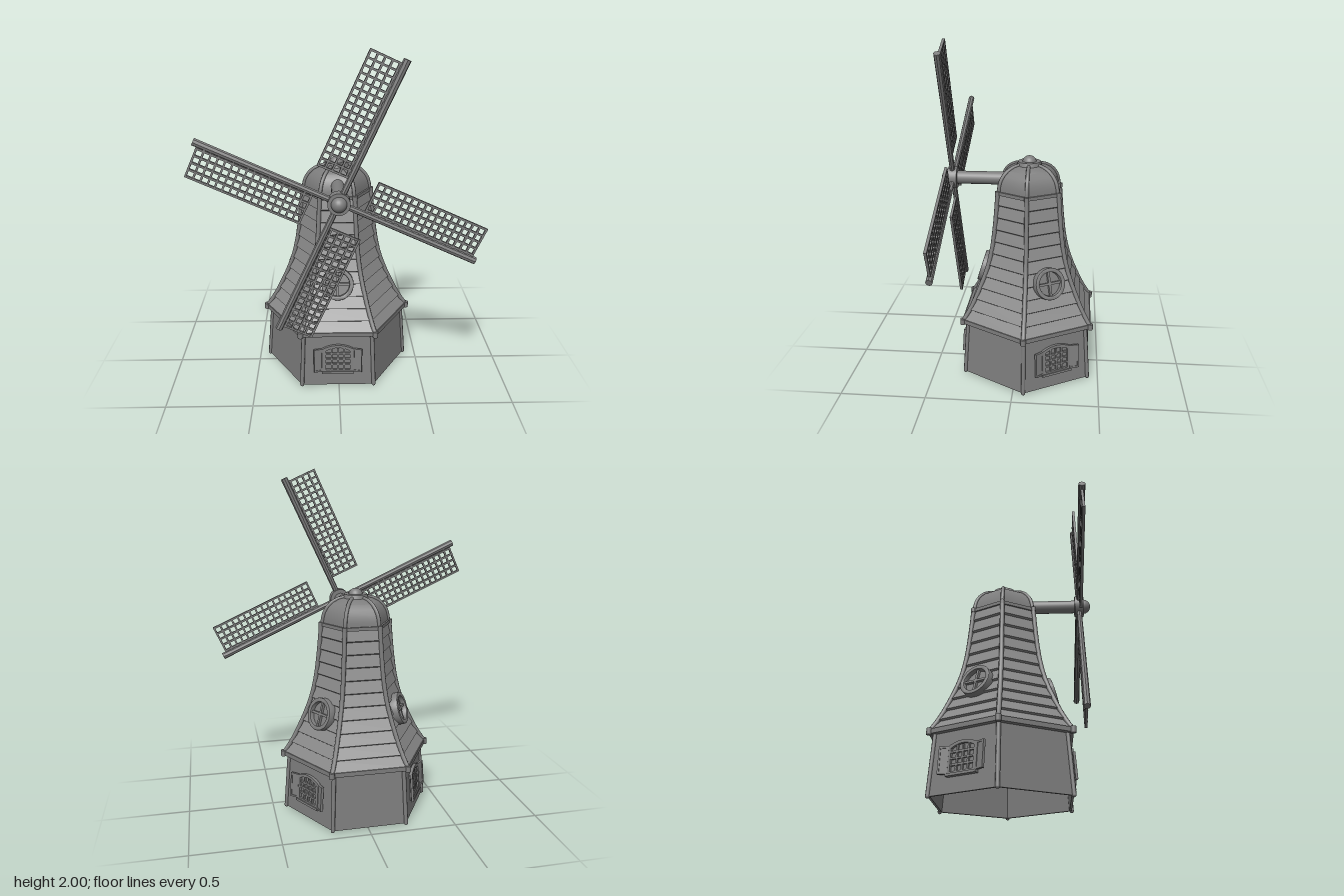
import * as THREE from 'three';
import { toCreasedNormals } from 'three/addons/utils/BufferGeometryUtils.js';

const stone = new THREE.MeshStandardMaterial({ color: 0x7e7e7e, side: THREE.DoubleSide });
const boarding = new THREE.MeshStandardMaterial({ color: 0x888888, side: THREE.DoubleSide });
const V2 = (p) => new THREE.Vector2(p[0], p[1]);

function add(parent, name, geometry, x = 0, y = 0, z = 0, material = stone) {
  const mesh = new THREE.Mesh(geometry, material);
  mesh.name = name;
  mesh.position.set(x, y, z);
  parent.add(mesh);
  return mesh;
}
const box = (parent, name, w, h, d, x, y, z) => add(parent, name, new THREE.BoxGeometry(w, h, d), x, y, z);

// Six-sided shell from [corner radius, height] points, corners on the x axis
const hexShell = (profile) =>
  toCreasedNormals(new THREE.LatheGeometry(profile.map(V2), 6, Math.PI / 2), 0.6);

// Ribs that follow a profile up each of the six corners
function cornerRibs(parent, name, profile, radius, steps = 24) {
  for (let i = 0; i < 6; i++) {
    const a = (i * Math.PI) / 3;
    const path = new THREE.CatmullRomCurve3(
      profile.map(([r, y]) => new THREE.Vector3(r * Math.cos(a), y, r * Math.sin(a))));
    add(parent, name, new THREE.TubeGeometry(path, steps, radius, 8));
    for (const t of [0, 1]) { // closed ends
      const p = path.getPoint(t);
      add(parent, name + 'End', new THREE.SphereGeometry(radius, 8, 6), p.x, p.y, p.z);
    }
  }
}

// Hexagonal moulding with a small knob on each corner
function hexRing(parent, name, R, y, h, depth, knob) {
  add(parent, name, hexShell([[R - depth, y - h / 2], [R, y - h / 2], [R, y + h / 2],
    [R - depth, y + h / 2], [R - depth, y - h / 2]]));
  for (let i = 0; i < 6; i++) {
    const a = (i * Math.PI) / 3;
    add(parent, name + 'Knob', new THREE.CylinderGeometry(knob, knob, h * 1.35, 12),
      (R - 0.003) * Math.cos(a), y, (R - 0.003) * Math.sin(a));
  }
}

// Frame lying on one of the hexagon's faces, leaning with it
function onFace(parent, name, angle, apothem, y, tilt) {
  const turn = new THREE.Group();
  turn.name = name;
  turn.rotation.y = angle;
  const seat = new THREE.Group();
  seat.position.set(0, y, apothem);
  seat.rotation.x = -tilt;
  turn.add(seat);
  parent.add(turn);
  return seat;
}

function archShape(w, bottom, side, top, Type = THREE.Shape) {
  const s = new Type();
  s.moveTo(-w, bottom);
  s.lineTo(w, bottom);
  s.lineTo(w, side);
  s.quadraticCurveTo(0, 2 * top - side, -w, side);
  s.lineTo(-w, bottom);
  return s;
}
const extrude = (shape, depth) =>
  new THREE.ExtrudeGeometry(shape, { depth, bevelEnabled: false, curveSegments: 16 });

function shutteredWindow(parent, angle) {
  const g = onFace(parent, 'shutteredWindow', angle, 0.361, 0.185, 0.07);
  const frame = archShape(0.088, -0.085, 0.068, 0.09);
  frame.holes.push(archShape(0.072, -0.068, 0.054, 0.074, THREE.Path));
  add(g, 'windowFrame', extrude(frame, 0.022), 0, 0, -0.004);
  add(g, 'windowPane', extrude(archShape(0.075, -0.07, 0.056, 0.076), 0.004), 0, 0, 0);
  for (const x of [-0.036, 0, 0.036]) box(g, 'uprightBar', 0.01, 0.138, 0.012, x, 0, 0.009);
  for (const y of [-0.034, 0, 0.034]) box(g, 'crossBar', 0.146, 0.01, 0.012, 0, y, 0.009);
  box(g, 'sill', 0.19, 0.014, 0.028, 0, -0.085, 0.01);
  for (const side of [-1, 1]) {
    const hinge = new THREE.Group();
    hinge.name = 'shutter';
    hinge.position.set(side * 0.088, 0, 0.012);
    hinge.rotation.y = -side * 0.27;
    g.add(hinge);
    box(hinge, 'shutterPanel', 0.056, 0.14, 0.008, side * 0.028, -0.005, 0);
    for (const x of [0.005, 0.051]) box(hinge, 'shutterStile', 0.01, 0.146, 0.014, side * x, -0.005, 0);
    for (const y of [-0.073, 0.063]) box(hinge, 'shutterRail', 0.056, 0.01, 0.014, side * 0.028, y, 0);
  }
}

function roundWindow(parent, angle) {
  const g = onFace(parent, 'roundWindow', angle, 0.248, 0.62, 0.3);
  const ring = new THREE.Shape().absarc(0, 0, 0.094, 0, Math.PI * 2);
  ring.holes.push(new THREE.Path().absarc(0, 0, 0.07, 0, Math.PI * 2));
  const frame = new THREE.ExtrudeGeometry(ring, {
    depth: 0.07, bevelThickness: 0.004, bevelSize: 0.004, bevelOffset: -0.004,
    bevelSegments: 2, curveSegments: 24 });
  add(g, 'roundFrame', toCreasedNormals(frame, 0.6), 0, 0, -0.03);
  add(g, 'roundPane', new THREE.CircleGeometry(0.072, 32), 0, 0, 0.016);
  box(g, 'uprightBar', 0.014, 0.142, 0.016, 0, 0, 0.024);
  box(g, 'crossBar', 0.142, 0.014, 0.016, 0, 0, 0.024);
}

// One spar with its lattice on the counter-clockwise side
function sail() {
  const g = new THREE.Group();
  g.name = 'sail';
  const spar = toCreasedNormals(new THREE.CylinderGeometry(0.021, 0.017, 0.8, 8), 0.6);
  add(g, 'spar', spar, 0, 0.425, 0).scale.z = 0.9;
  const x0 = -0.188, x1 = -0.026, y0 = 0.15, y1 = 0.795, bar = 0.011;
  for (let i = 0; i <= 4; i++)
    box(g, 'latticeLong', bar, y1 - y0 + bar, 0.016, x0 + ((x1 - x0) * i) / 4, (y0 + y1) / 2, 0);
  for (let j = 0; j <= 16; j++)
    box(g, 'latticeShort', x1 - x0 + 0.022, bar, 0.014, (x0 + x1) / 2 + 0.007, y0 + ((y1 - y0) * j) / 16, 0);
  return g;
}

export function createModel() {
  const model = new THREE.Group();
  model.name = 'windmill';
  const tower = new THREE.Group();
  tower.name = 'tower';
  tower.position.set(-0.007, 0, -0.064);
  model.add(tower);

  // Hollow base
  add(tower, 'baseWall', hexShell([[0.415, 0.01], [0.43, 0.01], [0.404, 0.35], [0.389, 0.35], [0.415, 0.01]]));
  cornerRibs(tower, 'basePost', [[0.43, 0.012], [0.404, 0.35]], 0.012, 2);

  // Flared body clad in overlapping boards, each with a dark lower lip
  const flare = [[0.43, 0.355], [0.392, 0.41], [0.357, 0.47], [0.318, 0.55], [0.287, 0.62],
    [0.258, 0.7], [0.234, 0.8], [0.219, 0.9], [0.208, 1.0], [0.197, 1.125]];
  const curve = new THREE.SplineCurve(flare.map(V2));
  const boards = [];
  const rows = 11;
  for (let i = 0; i < rows; i++) {
    const a = curve.getPointAt(i / rows), b = curve.getPointAt((i + 1) / rows);
    boards.push([a.x + 0.01, a.y + 0.006], [b.x - 0.003, b.y - 0.002]);
  }
  add(tower, 'boardedBody', hexShell(boards), 0, 0, 0, boarding);
  cornerRibs(tower, 'bodyRib', flare.map(([r, y]) => [r + 0.007, y]), 0.013);
  hexRing(tower, 'eaves', 0.442, 0.352, 0.026, 0.055, 0.016);

  // Domed cap with ribs and finial
  const dome = [[0.197, 1.125], [0.194, 1.16], [0.184, 1.195], [0.166, 1.225],
    [0.138, 1.252], [0.104, 1.27], [0.06, 1.28]];
  add(tower, 'cap', hexShell(dome));
  cornerRibs(tower, 'capRib', dome, 0.011);
  hexRing(tower, 'capMoulding', 0.208, 1.125, 0.02, 0.03, 0.014);
  add(tower, 'finialDisc', new THREE.CylinderGeometry(0.066, 0.074, 0.026, 32), 0, 1.284, 0);
  add(tower, 'finialKnob', new THREE.SphereGeometry(0.042, 24, 10, 0, Math.PI * 2, 0, Math.PI / 2), 0, 1.288, 0);

  // Windows on alternate faces
  for (let i = 0; i < 3; i++) {
    shutteredWindow(tower, (i * Math.PI * 2) / 3);
    roundWindow(tower, (i * Math.PI * 2) / 3);
  }

  // Shaft, hub and four sails
  const rotor = new THREE.Group();
  rotor.name = 'rotor';
  rotor.position.set(-0.004, 1.19, 0.387);
  model.add(rotor);
  add(rotor, 'shaft', new THREE.CylinderGeometry(0.038, 0.038, 0.42, 24), 0, 0, -0.21).rotation.x = Math.PI / 2;
  add(rotor, 'hub', new THREE.CylinderGeometry(0.062, 0.062, 0.054, 32), 0, 0, 0).rotation.x = Math.PI / 2;
  add(rotor, 'hubNose', new THREE.SphereGeometry(0.043, 24, 16), 0, 0, 0.025);
  for (let i = 0; i < 4; i++) {
    const blade = sail();
    blade.rotation.z = -0.426 + (i * Math.PI) / 2;
    rotor.add(blade);
  }
  return model;
}
